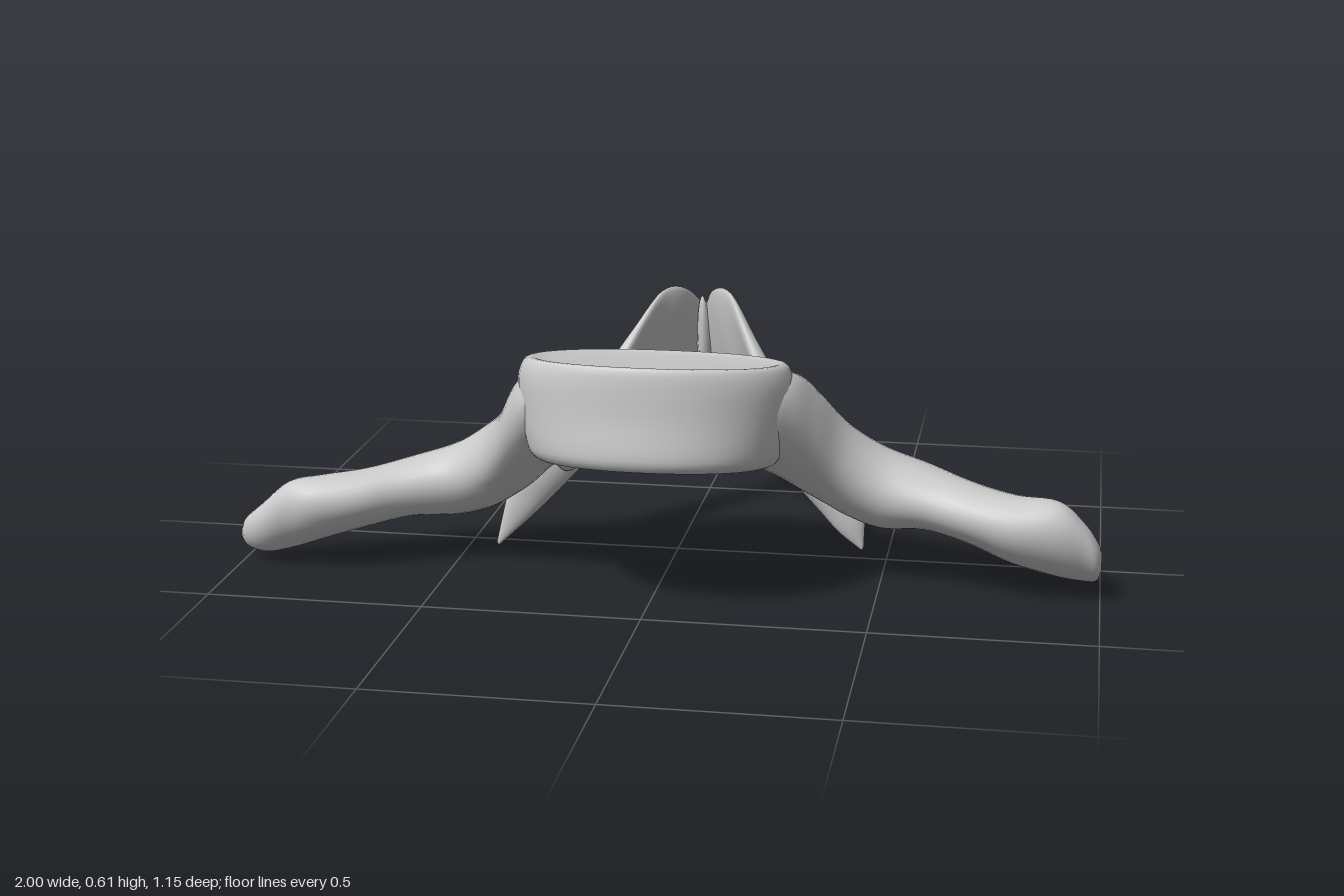
import * as THREE from 'three';

const V = (x, y, z) => new THREE.Vector3(x, y, z);
const material = new THREE.MeshStandardMaterial({ color: 0xcccccc, side: THREE.DoubleSide });

// Skins superelliptic sections [centre, halfAxisU, halfAxisV]; smooth steps are added between them.
function loft(name, stations, { steps = 5, sides = 32, power = 2 } = {}) {
  const curves = [0, 1, 2].map(k => new THREE.CatmullRomCurve3(stations.map(s => s[k]), false, 'catmullrom', 0.5));
  const rows = (stations.length - 1) * steps + 1;
  const pos = [], idx = [];
  const sp = t => Math.sign(t) * Math.abs(t) ** (2 / power);
  for (let r = 0; r < rows; r++) {
    const [c, u, v] = curves.map(k => k.getPoint(r / (rows - 1)));
    for (let i = 0; i < sides; i++) {
      const a = i / sides * Math.PI * 2;
      const p = c.clone().addScaledVector(u, sp(Math.cos(a))).addScaledVector(v, sp(Math.sin(a)));
      pos.push(p.x, p.y, p.z);
    }
  }
  const first = stations[0], last = stations[stations.length - 1], mid = stations[stations.length >> 1];
  const flip = mid[1].clone().cross(mid[2]).dot(last[0].clone().sub(first[0])) < 0;
  const tri = (a, b, c) => flip ? idx.push(a, c, b) : idx.push(a, b, c);
  const start = rows * sides, end = start + 1;
  pos.push(...first[0].toArray(), ...last[0].toArray());
  for (let i = 0; i < sides; i++) {
    const j = (i + 1) % sides;
    for (let r = 0; r < rows - 1; r++) {
      const a = r * sides + i, b = r * sides + j;
      tri(a, b, a + sides);
      tri(b, b + sides, a + sides);
    }
    tri(start, j, i);
    tri(end, (rows - 1) * sides + i, (rows - 1) * sides + j);
  }
  const g = new THREE.BufferGeometry();
  g.setAttribute('position', new THREE.Float32BufferAttribute(pos, 3));
  g.setIndex(idx);
  g.computeVertexNormals();
  const mesh = new THREE.Mesh(g, material);
  mesh.name = name;
  return mesh;
}

// Section spanning a top and a bottom point, with a thickness vector
const blade = (top, bottom, thick) => [
  top.clone().add(bottom).multiplyScalar(0.5), top.clone().sub(bottom).multiplyScalar(0.5), thick];

export function createModel() {
  const model = new THREE.Group();
  model.name = 'vertebra';

  // Vertebral body: tilted drum with a dished top and a soft rim [y, z, rx, rz]
  const drum = [
    [0.538, 0.32, 0.15, 0.11], [0.543, 0.32, 0.25, 0.2], [0.549, 0.32, 0.278, 0.226], [0.54, 0.322, 0.296, 0.236],
    [0.5, 0.325, 0.308, 0.238], [0.43, 0.33, 0.302, 0.236], [0.36, 0.335, 0.288, 0.24],
    [0.33, 0.335, 0.275, 0.235], [0.318, 0.335, 0.245, 0.21], [0.32, 0.335, 0.14, 0.11]];
  model.add(loft('vertebralBody',
    drum.map(([y, z, rx, rz]) => [V(0.005, y, z), V(rx, 0, 0), V(0, rz * 0.16, rz)]),
    { steps: 3, sides: 56, power: 2.15 }));

  // Transverse wings: [x, yTop, yBottom, zBack, zFront, forward lean]
  const left = [
    [0.15, 0.5, 0.34, 0.24, 0.42, 0.04], [0.21, 0.525, 0.29, 0.14, 0.42, 0.08], [0.27, 0.535, 0.24, 0.075, 0.4, 0.11],
    [0.32, 0.515, 0.195, 0.04, 0.355, 0.11], [0.365, 0.455, 0.165, 0.015, 0.31, 0.09],
    [0.42, 0.375, 0.14, 0, 0.27, 0.05], [0.5, 0.315, 0.12, 0, 0.25, 0.02], [0.6, 0.28, 0.13, 0.02, 0.255, 0.01],
    [0.7, 0.255, 0.11, 0.06, 0.28, 0.02], [0.8, 0.24, 0.07, 0.09, 0.295, 0.03], [0.9, 0.235, 0.045, 0.12, 0.285, 0.03],
    [0.96, 0.185, 0.035, 0.14, 0.26, 0.03], [0.99, 0.14, 0.04, 0.155, 0.245, 0.02], [1, 0.11, 0.07, 0.18, 0.22, 0]];
  const right = [
    [-0.15, 0.5, 0.34, 0.24, 0.42, 0.04], [-0.21, 0.525, 0.29, 0.14, 0.42, 0.08], [-0.27, 0.525, 0.24, 0.075, 0.41, 0.11],
    [-0.32, 0.475, 0.19, 0.045, 0.365, 0.1], [-0.365, 0.395, 0.155, 0.03, 0.315, 0.08],
    [-0.42, 0.34, 0.125, 0.02, 0.275, 0.04], [-0.5, 0.285, 0.105, 0.035, 0.25, 0.02], [-0.6, 0.255, 0.11, 0.085, 0.275, 0.01],
    [-0.7, 0.235, 0.09, 0.13, 0.32, 0.02], [-0.8, 0.225, 0.06, 0.165, 0.34, 0.03], [-0.87, 0.21, 0.035, 0.19, 0.325, 0.03],
    [-0.94, 0.15, 0.02, 0.205, 0.305, 0.02], [-0.985, 0.11, 0.03, 0.215, 0.28, 0.01], [-1, 0.085, 0.05, 0.23, 0.26, 0]];
  for (const [name, rows] of [['leftTransverseWing', left], ['rightTransverseWing', right]]) {
    model.add(loft(name, rows.map(([x, t, b, z0, z1, lean]) =>
      [V(x, (t + b) / 2, (z0 + z1) / 2), V(0, (t - b) / 2, lean), V(0, 0, (z1 - z0) / 2)])));
  }

  for (const s of [1, -1]) {
    const side = s > 0 ? 'left' : 'right';
    const P = (x, y, z) => V(s * x + 0.02, y, z);
    const T = t => V(s * t, 0, -t * 0.55);

    // Lamina: slanted plate sweeping up and back to the midline
    model.add(loft(side + 'Lamina', [
      blade(P(0.27, 0.36, 0.17), P(0.29, 0.28, 0.17), T(0.02)),
      blade(P(0.245, 0.4, 0.1), P(0.28, 0.22, 0.1), T(0.05)),
      blade(P(0.22, 0.405, 0.035), P(0.28, 0.2, 0.035), T(0.05)),
      blade(P(0.18, 0.445, -0.025), P(0.255, 0.275, -0.03), T(0.03)),
      blade(P(0.125, 0.535, -0.085), P(0.215, 0.305, -0.085), T(0.02)),
      blade(P(0.08, 0.6, -0.145), P(0.16, 0.325, -0.145), T(0.017)),
      blade(P(0.035, 0.595, -0.2), P(0.1, 0.335, -0.215), T(0.016)),
      blade(P(0.005, 0.535, -0.285), P(0.04, 0.33, -0.295), T(0.015)),
      blade(P(0, 0.47, -0.36), P(0.003, 0.335, -0.37), T(0.01)),
    ]));

    // Articular spur: web along the back of the root ending in a downward point
    const tip = s > 0 ? V(0.445, 0.035, 0.045) : V(-0.43, 0, 0.045);
    model.add(loft(side + 'ArticularSpur', [
      blade(P(0.23, 0.34, 0.05), P(0.2, 0.3, 0.05), V(0, 0, 0.01)),
      blade(P(0.26, 0.34, 0.045), P(0.195, 0.255, 0.045), V(0, 0, 0.03)),
      blade(P(0.33, 0.29, 0.035), P(0.25, 0.2, 0.03), V(0, 0, 0.035)),
      blade(P(0.41, 0.2, 0.04), P(0.32, 0.125, 0.03), V(0, 0, 0.03)),
      blade(P(0.43, 0.12, 0.045), P(0.37, 0.075, 0.04), V(0, 0, 0.018)),
      blade(tip.clone().add(V(0.005 * s, 0.01, 0)), tip, V(0, 0, 0.004)),
    ], { sides: 20 }));
  }

  // Rear spine: narrow keel with a slightly flared end
  model.add(loft('rearSpine', [
    blade(V(0.02, 0.57, -0.235), V(0.02, 0.4, -0.245), V(0.012, 0, 0)),
    blade(V(0.02, 0.53, -0.3), V(0.02, 0.34, -0.3), V(0.026, 0, 0)),
    blade(V(0.02, 0.47, -0.36), V(0.02, 0.335, -0.36), V(0.018, 0, 0)),
    blade(V(0.024, 0.43, -0.42), V(0.024, 0.33, -0.42), V(0.012, 0, 0)),
    blade(V(0.03, 0.42, -0.51), V(0.03, 0.328, -0.51), V(0.011, 0, 0)),
    blade(V(0.032, 0.43, -0.565), V(0.032, 0.365, -0.57), V(0.011, 0, 0)),
  ], { sides: 20 }));

  return model;
}
